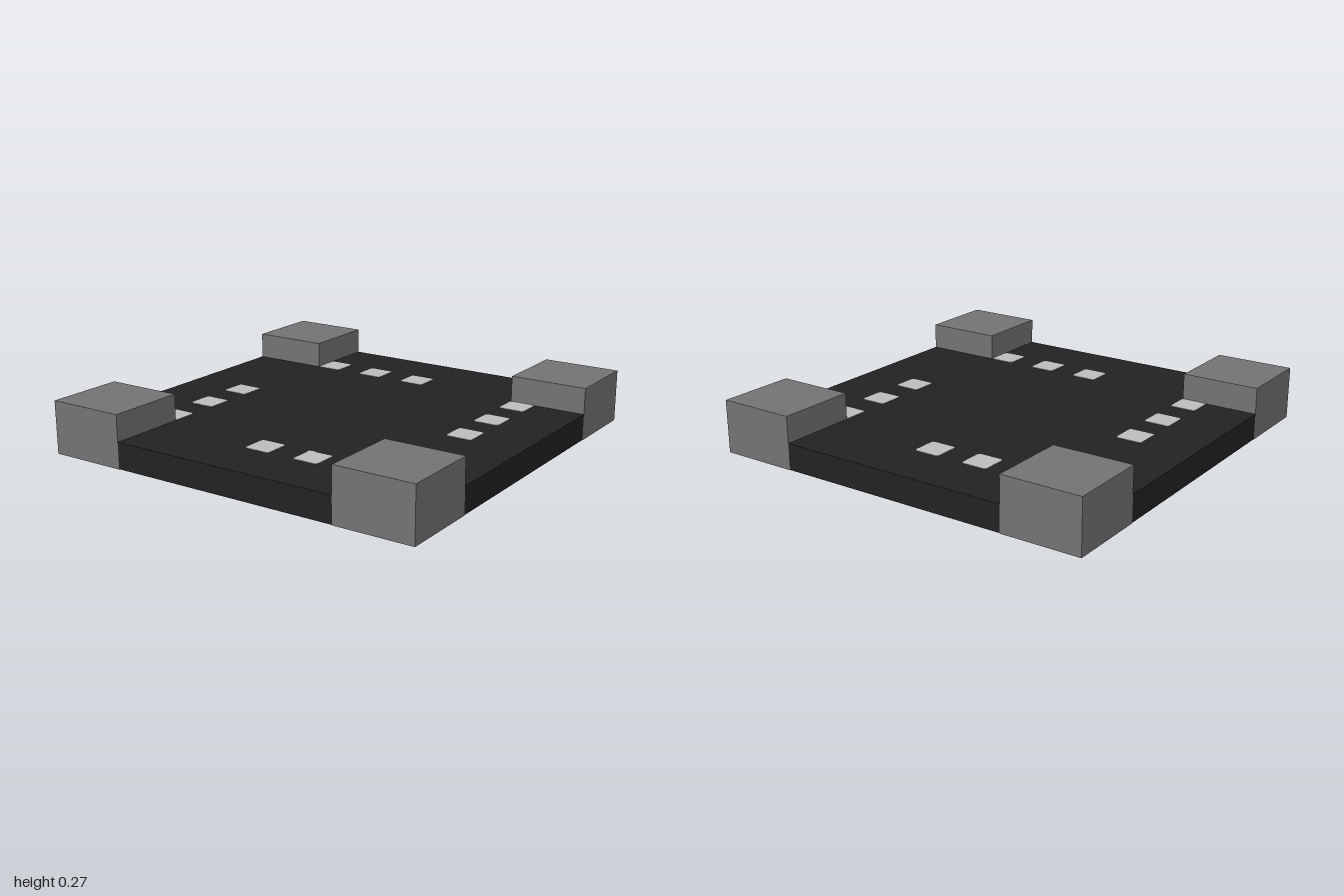
import * as THREE from 'three';

const U = 2 / 15;      // modular unit
const LIFT = 0.002;    // how far the inlays stand proud of the slab

// Extrudes a plan-view shape upwards from height y
function slabGeometry(shape, height, y) {
  const g = new THREE.ExtrudeGeometry(shape, { depth: height, bevelEnabled: false, curveSegments: 3 });
  g.rotateX(-Math.PI / 2);
  g.translate(0, y, 0);
  return g;
}

function roundedSquare(size, r) {
  const h = size / 2, s = new THREE.Shape();
  s.moveTo(-h + r, -h);
  s.lineTo(h - r, -h);
  s.quadraticCurveTo(h, -h, h, -h + r);
  s.lineTo(h, h - r);
  s.quadraticCurveTo(h, h, h - r, h);
  s.lineTo(-h + r, h);
  s.quadraticCurveTo(-h, h, -h, h - r);
  s.lineTo(-h, -h + r);
  s.quadraticCurveTo(-h, -h, -h + r, -h);
  return s;
}

export function createModel() {
  const model = new THREE.Group();
  model.name = 'floorTile';

  const asphalt = new THREE.MeshStandardMaterial({ color: 0x232323 });
  asphalt.name = 'asphalt black';
  const concrete = new THREE.MeshStandardMaterial({ color: 0x757575 });
  concrete.name = 'concrete grey';
  const paint = new THREE.MeshStandardMaterial({ color: 0xc0c0c0 });
  paint.name = 'marking pale grey';

  // Cross-shaped slab, notched where the corner blocks sit
  const a = 0.6, b = 1;
  const cross = new THREE.Shape([
    [-a, -b], [a, -b], [a, -a], [b, -a], [b, a], [a, a],
    [a, b], [-a, b], [-a, a], [-b, a], [-b, -a], [-a, -a],
  ].map(([x, y]) => new THREE.Vector2(x, y)));
  const slab = new THREE.Mesh(slabGeometry(cross, U - LIFT, LIFT), asphalt);
  slab.name = 'slab';
  model.add(slab);

  // Raised corner blocks
  const blockGeometry = new THREE.BoxGeometry(3 * U, 2 * U, 3 * U);
  for (const x of [-1, 1]) {
    for (const z of [-1, 1]) {
      const block = new THREE.Mesh(blockGeometry, concrete);
      block.name = `${z > 0 ? 'front' : 'back'}${x > 0 ? 'Left' : 'Right'}Corner`;
      block.position.set(x * 6 * U, U, z * 6 * U);
      model.add(block);
    }
  }

  // Lane markings showing on both faces, repeated by quarter turns
  const markGeometry = slabGeometry(roundedSquare(U, 0.015), U + LIFT, 0);
  for (let side = 0; side < 4; side++) {
    const lane = new THREE.Group();
    lane.name = `laneMarkings${side + 1}`;
    lane.rotation.y = side * Math.PI / 2;
    for (let i = 0; i < 3; i++) {
      const mark = new THREE.Mesh(markGeometry, paint);
      mark.name = 'laneMark';
      mark.position.set(i * 2 * U, 0, 5 * U);
      lane.add(mark);
    }
    model.add(lane);
  }

  return model;
}
